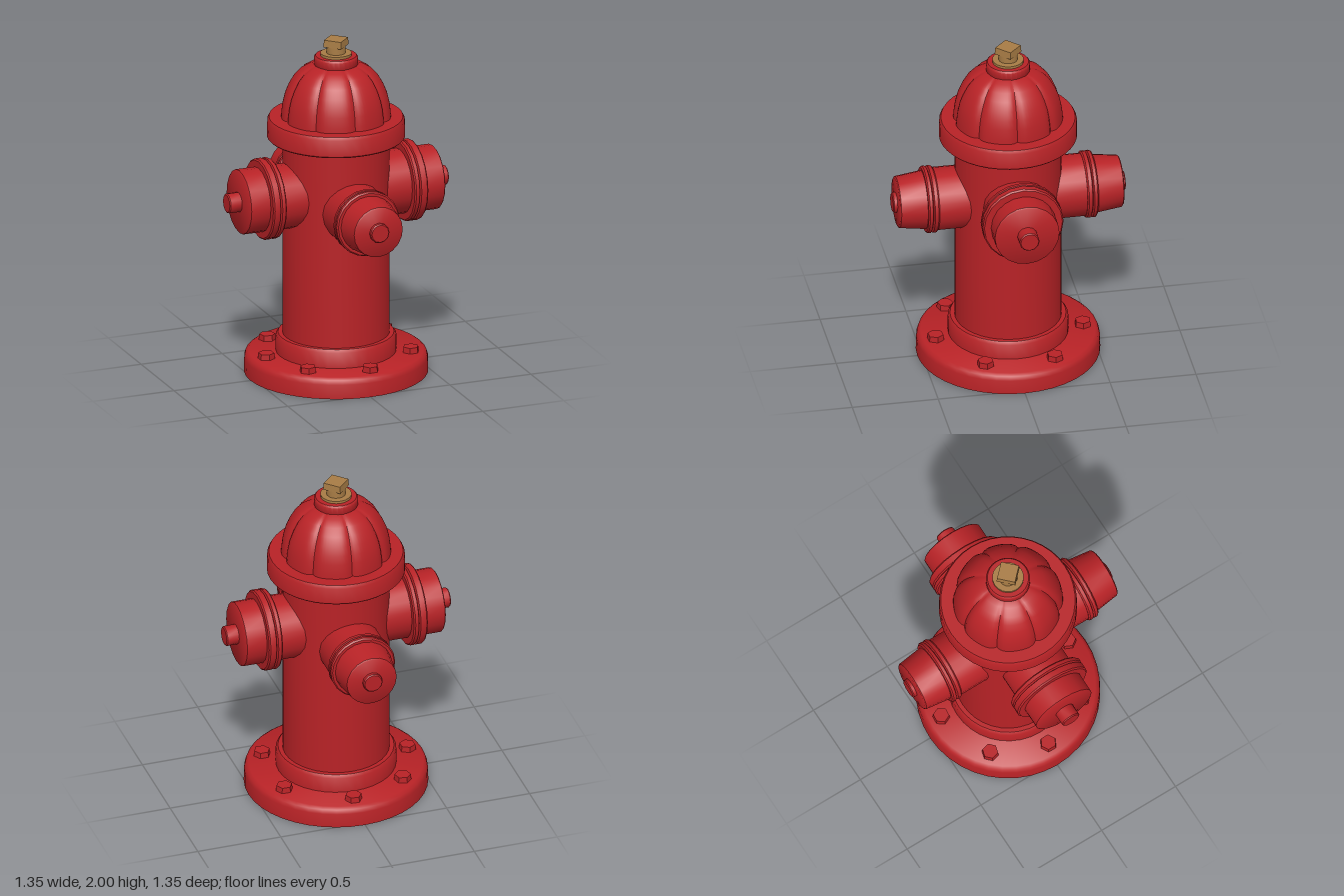
import * as THREE from 'three';
import { toCreasedNormals } from 'three/addons/utils/BufferGeometryUtils.js';

const CREASE = 0.7;

// Solid of revolution from [radius, height] pairs, bottom to top.
function turned(profile, segments) {
  const points = profile.map(([r, y]) => new THREE.Vector2(r, y));
  return toCreasedNormals(new THREE.LatheGeometry(points, segments), CREASE);
}

function add(parent, name, geometry, material) {
  const mesh = new THREE.Mesh(geometry, material);
  mesh.name = name;
  parent.add(mesh);
  return mesh;
}

// Dome whose radius dips at eight evenly spaced grooves.
function flutedDome() {
  const profile = [[0.31, 1.52], [0.308, 1.56], [0.3, 1.62], [0.288, 1.67], [0.268, 1.72],
    [0.24, 1.77], [0.205, 1.81], [0.16, 1.838], [0.11, 1.855], [0, 1.855]];
  const geometry = new THREE.LatheGeometry(profile.map(([r, y]) => new THREE.Vector2(r, y)), 96);
  const p = geometry.attributes.position;
  for (let i = 0; i < p.count; i++) {
    const x = p.getX(i), z = p.getZ(i);
    const lobe = Math.abs(Math.sin(Math.atan2(z, x) * 4));
    const scale = 1.015 - 0.065 * Math.pow(1 - lobe, 3);
    p.setX(i, x * scale);
    p.setZ(i, z * scale);
  }
  return toCreasedNormals(geometry, CREASE);
}

// Outlet pointing along +z: barrel, double flange, cap and nub.
function outlet(name, o, material) {
  const group = new THREE.Group();
  group.name = name;
  const parts = {
    Barrel: [[0, 0.1], [o.barrel, 0.1], [o.barrel, o.flangeStart + 0.01], [0, o.flangeStart + 0.01]],
    Flange: [[0, o.flangeStart], [o.flange - 0.008, o.flangeStart], [o.flange, o.flangeStart + 0.008],
      [o.flange, o.flangeStart + 0.028], [o.flange - 0.016, o.flangeStart + 0.034],
      [o.flange, o.flangeStart + 0.04], [o.flange, o.flangeEnd - 0.008],
      [o.flange - 0.008, o.flangeEnd], [0, o.flangeEnd]],
    Cap: [[0, o.flangeEnd - 0.01], [o.capBase, o.flangeEnd - 0.01], [o.capTip, o.end - 0.006],
      [o.capTip - 0.008, o.end], [0, o.end]],
    Nub: [[0, o.end - 0.01], [0.058, o.end - 0.01], [0.058, 0.67], [0.052, 0.676], [0, 0.676]],
  };
  for (const [part, profile] of Object.entries(parts)) {
    const geometry = turned(profile, part === 'Nub' ? 12 : 20);
    geometry.rotateX(Math.PI / 2);
    add(group, name + part, geometry, material);
  }
  return group;
}

export function createModel() {
  const red = new THREE.MeshStandardMaterial({ color: 0xb82226 });
  red.name = 'hydrant red';
  const brass = new THREE.MeshStandardMaterial({ color: 0xa87c45 });
  brass.name = 'brass';

  const model = new THREE.Group();
  model.name = 'fireHydrant';

  // Foot and column
  add(model, 'basePlate', turned([[0, 0], [0.528, 0], [0.526, 0.085], [0.518, 0.11],
    [0.5, 0.123], [0, 0.123]], 40), red);
  add(model, 'baseCollar', turned([[0, 0.11], [0.345, 0.11], [0.345, 0.215], [0.332, 0.232], [0, 0.232]], 36), red);
  add(model, 'column', turned([[0, 0.2], [0.307, 0.2], [0.307, 1.43], [0, 1.43]], 36), red);

  // Seven hexagonal bolts around the foot
  const boltGeometry = toCreasedNormals(new THREE.CylinderGeometry(0.046, 0.052, 0.055, 6), 0.3);
  for (const degrees of [180, 134, 226, 85, 275, 28, -28]) {
    const a = THREE.MathUtils.degToRad(degrees);
    const bolt = add(model, 'baseBolt', boltGeometry, red);
    bolt.position.set(0.43 * Math.cos(a), 0.1285, 0.43 * Math.sin(a));
    bolt.rotation.y = -a;
  }

  // Bonnet
  add(model, 'bonnetFlange', turned([[0, 1.41], [0.388, 1.41], [0.396, 1.418], [0.394, 1.515],
    [0.384, 1.533], [0, 1.533]], 40), red);
  add(model, 'bonnetDome', flutedDome(), red);
  add(model, 'bonnetCap', turned([[0, 1.83], [0.115, 1.83], [0.126, 1.848], [0.126, 1.892],
    [0.118, 1.902], [0, 1.902]], 28), red);

  // Operating nut
  add(model, 'nutWasher', turned([[0, 1.89], [0.09, 1.89], [0.09, 1.917], [0, 1.917]], 20), brass);
  add(model, 'nutStem', turned([[0, 1.91], [0.055, 1.91], [0.055, 1.965], [0, 1.965]], 16), brass);
  const nut = add(model, 'operatingNut',
    toCreasedNormals(new THREE.CylinderGeometry(0.074, 0.078, 0.042, 4), 0.3), brass);
  nut.position.y = 1.979;

  // Two large side outlets, and smaller ones at front and back
  const large = { barrel: 0.188, flange: 0.235, flangeStart: 0.395, flangeEnd: 0.478,
    capBase: 0.188, capTip: 0.188, end: 0.602 };
  const small = { barrel: 0.182, flange: 0.194, flangeStart: 0.43, flangeEnd: 0.495,
    capBase: 0.171, capTip: 0.15, end: 0.652 };
  const placements = [['frontOutlet', small, 1.035, 0], ['leftOutlet', large, 1.09, 1],
    ['backOutlet', small, 1.035, 2], ['rightOutlet', large, 1.09, 3]];
  for (const [name, size, height, turn] of placements) {
    const group = outlet(name, size, red);
    group.position.y = height;
    group.rotation.y = turn * Math.PI / 2;
    model.add(group);
  }

  return model;
}
